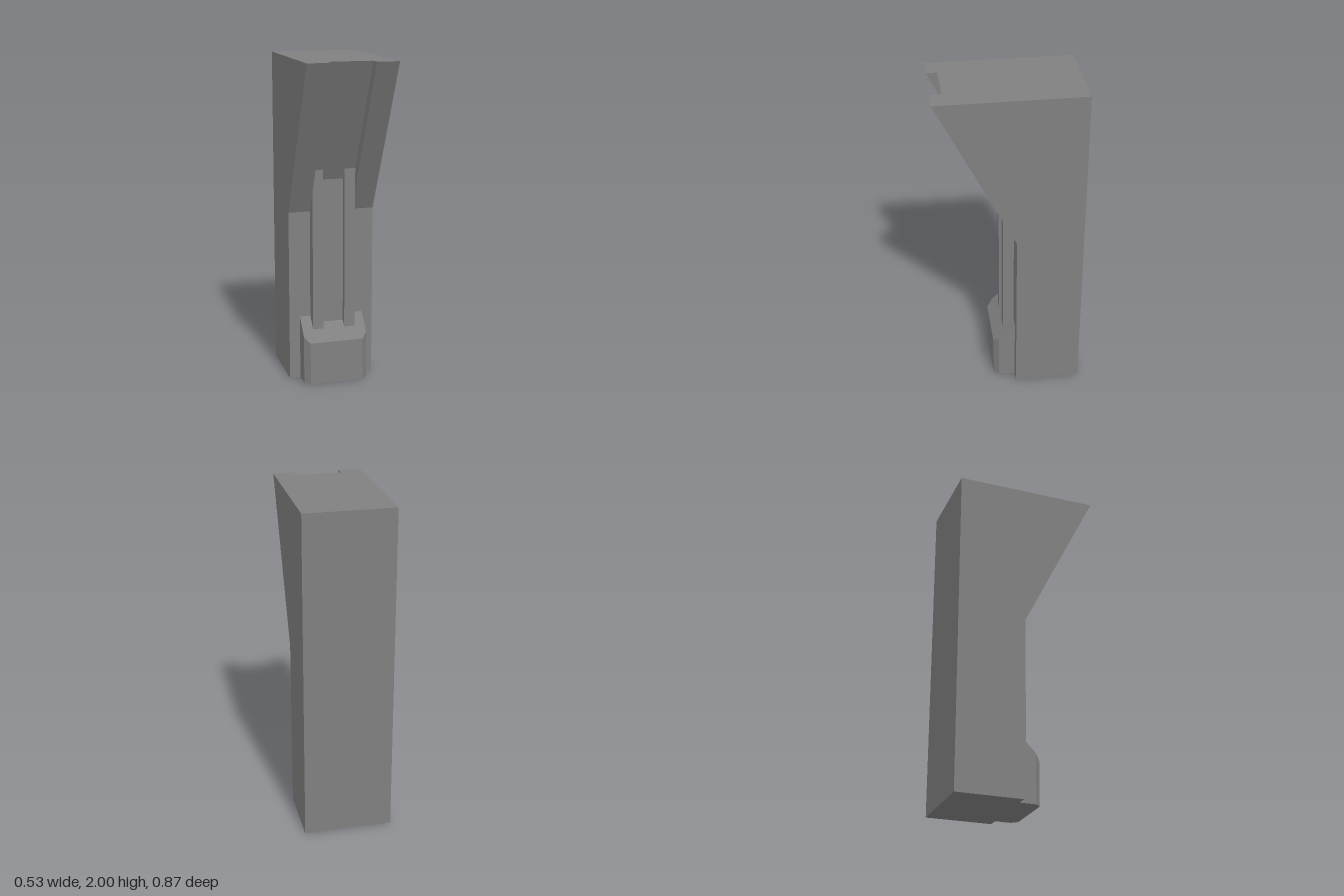
import * as THREE from 'three';

const material = new THREE.MeshStandardMaterial({ color: 0x808080, flatShading: true });
const toShape = (pts) => new THREE.Shape(pts.map(([a, b]) => new THREE.Vector2(a, b)));

// Extrudes a side profile of [z, y] points across x0..x1.
function sideProfile(name, pts, x0, x1) {
  const geo = new THREE.ExtrudeGeometry(toShape(pts), { depth: x1 - x0, bevelEnabled: false });
  geo.rotateY(-Math.PI / 2).translate(x1, 0, 0);
  const mesh = new THREE.Mesh(geo, material);
  mesh.name = name;
  return mesh;
}

export function createModel() {
  const group = new THREE.Group();
  group.name = 'bracketColumn';

  const W = 0.2667, G = 0.1333, R = 0.0667; // half widths: column, groove, panel
  const F = -0.0333; // front plane of the column

  // Upright column
  const column = new THREE.Mesh(new THREE.BoxGeometry(2 * W, 2, 0.4), material);
  column.position.set(0, 1, F - 0.2);
  column.name = 'column';
  group.add(column);

  // Sloping overhang: two outer cheeks and the recessed groove between them
  const cheek = [[F, 1.0667], [0.4333, 2], [F, 2]];
  const groove = [[F, 1.2], [0.3667, 2], [F, 2]];
  group.add(sideProfile('overhangLeft', cheek, G, W));
  group.add(sideProfile('overhangRight', cheek, -W, -G));
  group.add(sideProfile('overhangGroove', groove, -G, G));

  // Two vertical rails with a shallower panel between, cut to the slopes they meet
  const rail = [[F, 0.4], [0.0333, 0.3333], [0.0333, 1.3333], [F, 1.2]];
  const panel = [[F, 0.4], [0, 0.3667], [0, 1.2667], [F, 1.2]];
  group.add(sideProfile('railLeft', rail, R, G));
  group.add(sideProfile('railRight', rail, -G, -R));
  group.add(sideProfile('centrePanel', panel, -R, R));

  // Plinth: plan with chamfered front corners, top sheared to a 45 degree slope
  const plan = [[-0.2, -F], [-0.2, -0.0667], [-0.1667, -0.1], [0.1667, -0.1], [0.2, -0.0667], [0.2, -F]];
  const geo = new THREE.ExtrudeGeometry(toShape(plan), { depth: 1, bevelEnabled: false });
  geo.rotateX(-Math.PI / 2);
  const pos = geo.attributes.position;
  for (let i = 0; i < pos.count; i++) {
    pos.setY(i, pos.getY(i) > 0.5 ? 0.3667 - pos.getZ(i) : 0);
  }
  geo.computeVertexNormals();
  const plinth = new THREE.Mesh(geo, material);
  plinth.name = 'plinth';
  group.add(plinth);

  return group;
}
